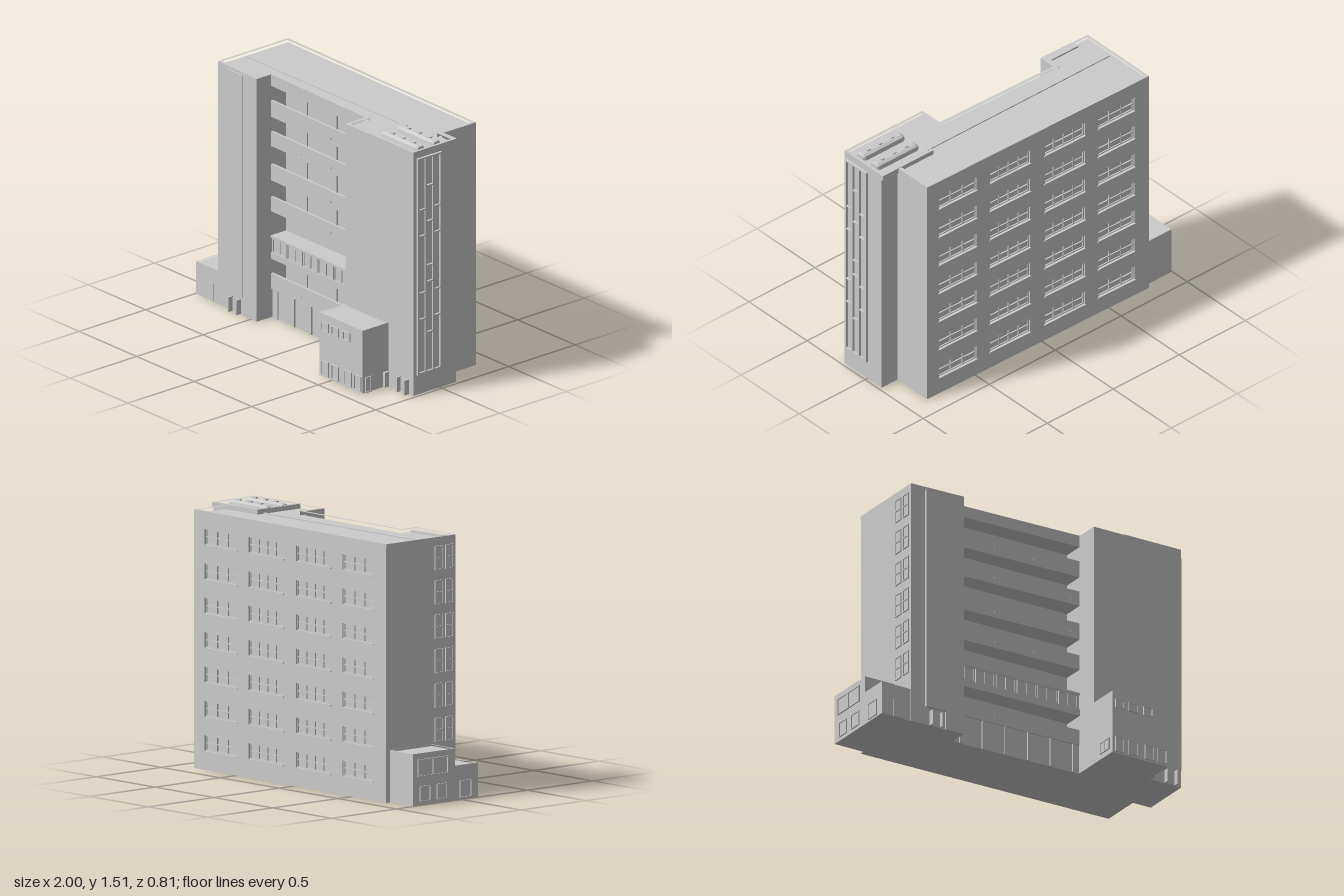
import * as THREE from 'three';

const mat = new THREE.MeshStandardMaterial({ color: 0xcccccc, flatShading: true });

function add(parent, name, geo, x = 0, y = 0, z = 0) {
  const m = new THREE.Mesh(geo, mat);
  m.name = name;
  m.position.set(x, y, z);
  parent.add(m);
  return m;
}

// Box from minimum and maximum corners
const box = (p, name, x0, x1, y0, y1, z0, z1) =>
  add(p, name, new THREE.BoxGeometry(x1 - x0, y1 - y0, z1 - z0), (x0 + x1) / 2, (y0 + y1) / 2, (z0 + z1) / 2);

const poly = (pts) => pts.map(([x, y]) => new THREE.Vector2(x, y));
const rect = (x0, x1, y0, y1) => poly([[x0, y0], [x1, y0], [x1, y1], [x0, y1]]);

// Upright plate with rectangular holes [x0, x1, y0, y1], facing +z
function plate(p, name, outline, holes, depth, z = 0) {
  const s = new THREE.Shape(outline);
  holes.forEach((h) => s.holes.push(new THREE.Path(rect(...h))));
  return add(p, name, new THREE.ExtrudeGeometry(s, { depth, bevelEnabled: false }), 0, 0, z);
}

// Plan outline in (x, z) raised from y0 to y1, with an optional inner opening
function slab(p, name, pts, y0, y1, inner) {
  const flip = (a) => poly(a.map(([x, z]) => [x, -z]));
  const s = new THREE.Shape(flip(pts));
  if (inner) s.holes.push(new THREE.Path(flip(inner)));
  const g = new THREE.ExtrudeGeometry(s, { depth: y1 - y0, bevelEnabled: false });
  g.rotateX(-Math.PI / 2);
  return add(p, name, g, 0, y0, 0);
}

// Group on a wall: local +z points out of the wall
function face(p, name, x, y, z, turn) {
  const g = new THREE.Group();
  g.name = name;
  g.position.set(x, y, z);
  g.rotation.y = turn;
  p.add(g);
  return g;
}

// Window centred on (x, y): frame with a grid of panes
function windowUnit(p, name, x, y, w, h, cols, rows, bar = 0.006, depth = 0.008) {
  const g = face(p, name, x, y, 0, 0);
  const cw = (w - bar) / cols, ch = (h - bar) / rows, holes = [];
  for (let i = 0; i < cols; i++) for (let j = 0; j < rows; j++) {
    const a = -w / 2 + bar + i * cw, b = -h / 2 + bar + j * ch;
    holes.push([a, a + cw - bar, b, b + ch - bar]);
  }
  plate(g, 'windowFrame', rect(-w / 2, w / 2, -h / 2, h / 2), holes, depth);
  box(g, 'glass', -w / 2 + 0.001, w / 2 - 0.001, -h / 2 + 0.001, h / 2 - 0.001, -0.002, 0.002);
  return g;
}

export function createModel() {
  const model = new THREE.Group();
  model.name = 'building';
  const TOP = 1.49, ROOF = 1.465;

  // Main body, with the balcony recess cut into the front
  slab(model, 'mainBody', [[-0.8, -0.38], [0.86, -0.355], [0.86, -0.12], [0.98, -0.12], [0.98, 0.2],
    [0.39, 0.2], [0.39, -0.08], [-0.45, -0.08], [-0.45, 0.13], [-0.8, 0.13]], 0, ROOF);

  // Parapet around the roof
  slab(model, 'parapet',
    [[-0.8, -0.4], [0.86, -0.375], [0.86, -0.12], [0.98, -0.12], [0.98, 0.2], [0.39, 0.2], [0.39, 0.052],
      [-0.45, 0.032], [-0.45, 0.14], [-0.8, 0.13]], ROOF, TOP,
    [[-0.782, -0.378], [0.838, -0.354], [0.838, -0.1], [0.962, -0.1], [0.962, 0.182], [0.412, 0.182], [0.412, 0.03],
      [-0.485, 0.01], [-0.485, 0.112], [-0.782, 0.112]]);
  box(model, 'roofRidge', -0.78, 0.6, ROOF - 0.005, ROOF + 0.006, -0.085, -0.07);

  // Stair tower kerb and rooftop skylights
  slab(model, 'towerKerb', [[0.595, -0.13], [0.98, -0.13], [0.98, 0.2], [0.595, 0.2]], 1.46, TOP + 0.003,
    [[0.612, -0.113], [0.963, -0.113], [0.963, 0.183], [0.612, 0.183]]);
  for (const z of [-0.01, 0.11]) {
    const s = new THREE.Shape(poly([[-0.035, 0], [0.035, 0], [0.03, 0.025], [0.014, 0.035], [-0.014, 0.035], [-0.03, 0.025]]));
    const g = new THREE.ExtrudeGeometry(s, { depth: 0.28, bevelEnabled: true, bevelSegments: 1, bevelThickness: 0.016, bevelSize: 0.006, bevelOffset: -0.006 });
    g.rotateY(Math.PI / 2);
    add(model, 'skylight', g, 0.645, ROOF, z);
    for (const x of [0.7, 0.79, 0.88]) box(model, 'skylightVent', x - 0.012, x + 0.012, 1.49, 1.507, z - 0.009, z + 0.009);
  }

  // Rear wall with recessed windows, very slightly angled
  const back = face(model, 'rearWall', 0.03, 0, -0.3675, Math.PI - 0.015);
  const bays = [[0.77, 0.49, 3], [0.39, 0.09, 4], [-0.02, -0.32, 4], [-0.42, -0.69, 3]];
  const openings = [];
  for (let r = 0; r < 7; r++) for (const [xa, xb, n] of bays) {
    const y = 0.11 + r * 0.198, a = 0.03 - xa, b = 0.03 - xb;
    openings.push([a, b, y, y + 0.09]);
    windowUnit(back, 'rearWindow', (a + b) / 2, y + 0.045, b - a, 0.09, n, 2, 0.006, 0.01);
    box(back, 'rearSill', a - 0.005, b + 0.005, y - 0.008, y, 0.01, 0.026);
  }
  plate(back, 'rearCladding', rect(-0.83, 0.83, 0, ROOF), openings, 0.02);

  // Front recess: plan strip following the slight slant of the facade
  const frontZ = (x) => 0.032 + (x + 0.45) * 0.024;
  const strip = (name, y0, y1, zBack, out = 0) => slab(model, name,
    [[-0.45, zBack ?? frontZ(-0.45) - 0.015], [0.39, zBack ?? frontZ(0.39) - 0.015],
      [0.39, frontZ(0.39) + out], [-0.45, frontZ(-0.45) + out]], y0, y1);
  strip('recessCanopy', 1.42, ROOF, -0.09);
  for (const [y0, y1] of [[1.23, 1.33], [1.05, 1.14], [0.84, 0.94], [0.65, 0.74], [0.175, 0.27]]) {
    strip('balconyFront', y0, y1);
    strip('balconyFloor', y0, y0 + 0.015, -0.09, -0.005);
    for (const x of [-0.28, -0.02, 0.23]) {
      box(model, 'balconyDoor', x - 0.022, x + 0.022, y0 + 0.015, y0 + 0.14, -0.085, -0.07);
      box(model, 'balconyDrain', x + 0.1, x + 0.108, y0 + 0.03, y0 + 0.038, 0.03, frontZ(x) + 0.008);
    }
  }

  // Glazed gallery
  strip('galleryBase', 0.36, 0.5, -0.09, -0.008);
  strip('galleryEaves', 0.49, 0.502, -0.09, 0.004);
  strip('gallerySill', 0.36, 0.4, -0.09, 0.002);
  const gallery = face(model, 'galleryWindows', -0.03, 0, frontZ(-0.03) - 0.008, -0.024);
  for (let i = 0; i < 6; i++) windowUnit(gallery, 'galleryWindow', -0.345 + i * 0.138, 0.445, 0.128, 0.088, 2, 1);

  // Ground floor wall and posts
  strip('groundWall', 0, 0.175, -0.09, -0.01);
  for (let i = 0; i < 6; i++) {
    const x = -0.4 + i * 0.15;
    box(model, 'groundPost', x - 0.006, x + 0.006, 0, 0.175, 0, frontZ(x));
  }

  // Front left pier and raised panel
  box(model, 'leftPier', -0.57, -0.45, 0, 1.475, 0.1, 0.14);
  box(model, 'leftPanel', -0.705, -0.57, 0.11, 1.475, 0.1, 0.145);

  // Entrance porches
  for (const [x, z] of [[-0.637, 0.13], [0.905, 0.2]]) {
    for (const s of [-1, 1]) box(model, 'porchWall', x + s * 0.033 - 0.005, x + s * 0.033 + 0.005, 0, 0.09, z - 0.01, z + 0.035);
    box(model, 'porchDoor', x - 0.03, x + 0.03, 0, 0.085, z - 0.01, z + 0.006);
  }

  // Tall stair window on the right side
  const tall = face(model, 'stairWindow', 0.98, 0, 0.0875, Math.PI / 2);
  const cells = [];
  const outer = [0.13, 0.46, 0.62, 0.97, 1.13, 1.445], middle = [0.13, 0.37, 0.68, 0.78, 1.05, 1.27, 1.445];
  [outer, middle, outer].forEach((ys, i) => {
    const x = -0.08 + i * 0.056;
    for (let k = 0; k + 1 < ys.length; k++) cells.push([x, x + 0.047, ys[k] + 0.004, ys[k + 1] - 0.004]);
  });
  plate(tall, 'stairWindowFrame', rect(-0.09, 0.09, 0.12, 1.45), cells, 0.016);
  box(tall, 'stairGlass', -0.085, 0.085, 0.125, 1.445, -0.002, 0.004);

  // Left side windows
  const left = face(model, 'leftSideWindows', -0.8, 0, 0, -Math.PI / 2);
  for (let r = 0; r < 6; r++) for (const z of [0.0, 0.08])
    windowUnit(left, 'leftWindow', z, 1.37 - r * 0.198, 0.06, 0.14, 1, 2);

  // Low annexes, each with a small parapet
  const annex = (name, x0, x1, z0, z1, h) => {
    const t = 0.012, ring = (d) => [[x0 + d, z0 + d], [x1 - d, z0 + d], [x1 - d, z1 - d], [x0 + d, z1 - d]];
    slab(model, name, ring(0), 0, h - 0.01);
    slab(model, name + 'Parapet', ring(0), h - 0.01, h, ring(t));
  };
  annex('leftRearAnnex', -0.995, -0.79, -0.37, -0.05, 0.3);
  annex('leftFrontAnnex', -0.995, -0.79, -0.05, 0.125, 0.2);
  annex('frontAnnex', 0.39, 0.765, 0.19, 0.395, 0.385);

  // Annex doors and windows
  const side = face(model, 'leftAnnexOpenings', -0.995, 0, 0, -Math.PI / 2);
  windowUnit(side, 'annexWindow', -0.22, 0.215, 0.23, 0.1, 2, 1);
  for (const z of [-0.28, -0.15]) windowUnit(side, 'annexWindow', z, 0.065, 0.08, 0.09, 1, 1);
  windowUnit(side, 'annexDoor', 0.03, 0.06, 0.09, 0.1, 1, 1);
  windowUnit(face(model, 'leftAnnexFront', -0.9, 0, 0.125, 0), 'annexDoor', 0.02, 0.055, 0.07, 0.11, 1, 1, 0.006, 0.004);
  const front = face(model, 'frontAnnexOpenings', 0, 0, 0.395, 0);
  for (const x of [0.44, 0.53, 0.63]) windowUnit(front, 'annexWindow', x, 0.31, 0.062, 0.055, 1, 1);
  for (const x of [0.44, 0.53, 0.64, 0.725]) windowUnit(front, 'annexWindow', x, 0.055, 0.062, 0.09, 1, 1);
  const inner = face(model, 'frontAnnexLeftSide', 0.765, 0, 0, Math.PI / 2);
  windowUnit(inner, 'annexDoor', -0.355, 0.047, 0.045, 0.094, 1, 1);
  box(inner, 'annexPorch', -0.24, -0.21, 0, 0.09, 0, 0.015);
  const outerSide = face(model, 'frontAnnexRightSide', 0.39, 0, 0, -Math.PI / 2);
  windowUnit(outerSide, 'annexWindow', 0.32, 0.065, 0.1, 0.07, 2, 1);
  return model;
}
